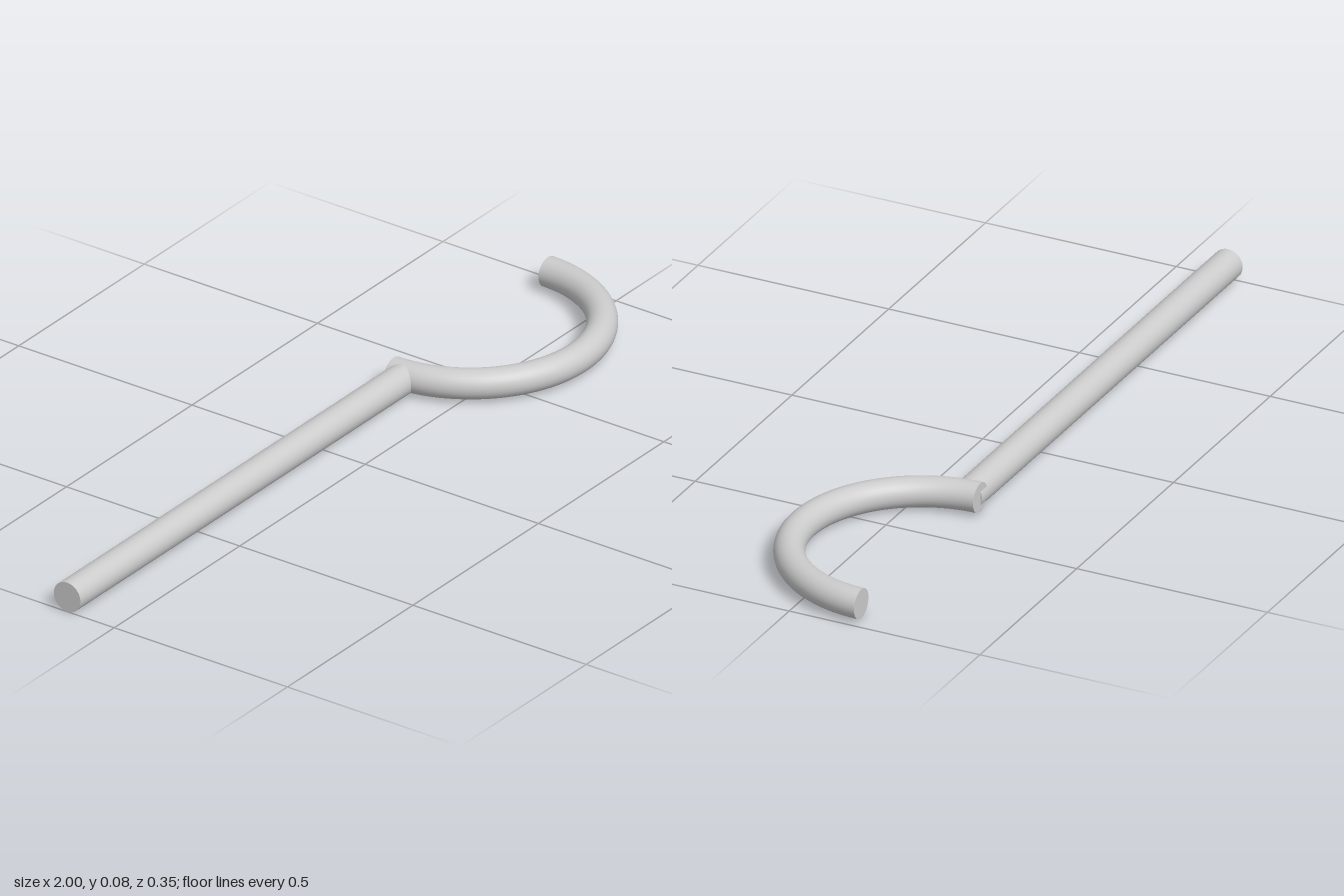
import * as THREE from 'three';

export function createModel() {
  const group = new THREE.Group();
  const material = new THREE.MeshStandardMaterial({ color: 0xcccccc });
  const tube = 0.0375, ring = 0.3075, hookX = 0.655, hookY = 0.0415, hookZ = -0.17;

  const add = (name, geometry, x, y, z) => {
    const mesh = new THREE.Mesh(geometry, material);
    mesh.name = name;
    mesh.position.set(x, y, z);
    group.add(mesh);
  };

  // Straight shaft, ending inside the start of the hook
  const start = -1, end = 0.347;
  add('shaft', new THREE.CylinderGeometry(0.0385, 0.0385, end - start, 32).rotateZ(Math.PI / 2),
    (start + end) / 2, 0.0385, -0.136);

  // Half-ring hook bulging towards the front
  add('hook', new THREE.TorusGeometry(ring, tube, 32, 64, Math.PI).rotateX(Math.PI / 2),
    hookX, hookY, hookZ);

  // Flat caps on both hook ends, facing back
  for (const side of [-1, 1]) {
    add(side < 0 ? 'hookInnerCap' : 'hookTipCap',
      new THREE.CircleGeometry(tube, 32).rotateY(Math.PI), hookX + side * ring, hookY, hookZ);
  }
  return group;
}
